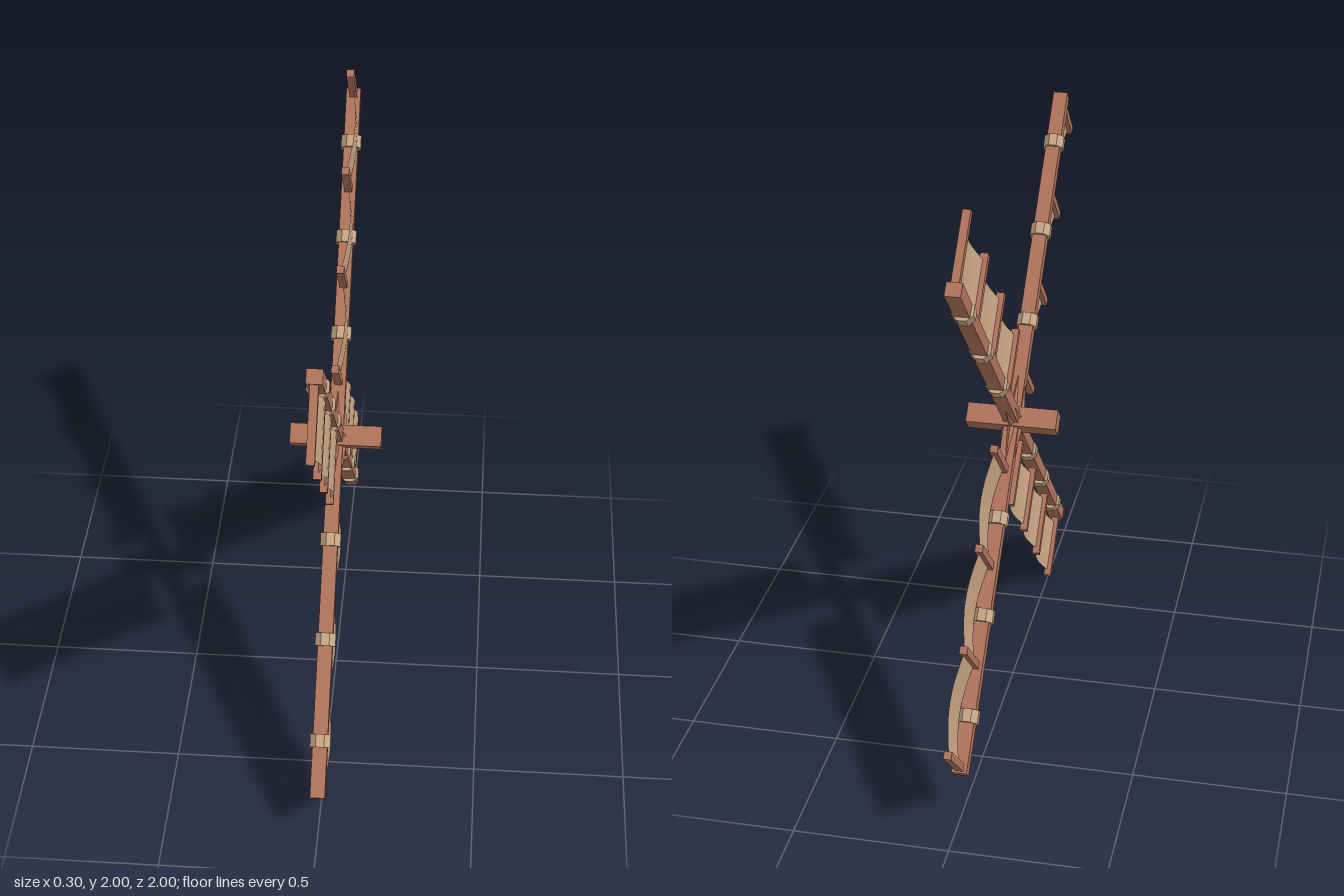
import * as THREE from 'three';

const HUB_HEIGHT = 1;
const BAR_POSITIONS = [0.18, 0.505, 0.83, 1.156];
const SPACING = 0.3253;

// Gives a geometry hard-edged facets
function faceted(geometry) {
  const g = geometry.toNonIndexed();
  g.computeVertexNormals();
  return g;
}

function addMesh(parent, name, geometry, material, x = 0, y = 0, z = 0) {
  const mesh = new THREE.Mesh(geometry, material);
  mesh.name = name;
  mesh.position.set(x, y, z);
  parent.add(mesh);
  return mesh;
}

// Cloth sheet that billows sideways between the cross bars
function makeCloth() {
  const start = BAR_POSITIONS[0];
  const end = BAR_POSITIONS[3];
  const cloth = new THREE.PlaneGeometry(0.187, end - start, 1, 30);
  cloth.rotateY(-Math.PI / 2);
  cloth.translate(0, (start + end) / 2, 0.1325);
  const p = cloth.attributes.position;
  for (let i = 0; i < p.count; i++) {
    const t = (p.getY(i) - start) / SPACING;
    p.setX(i, 0.022 * Math.abs(Math.sin(Math.PI * t)));
  }
  cloth.computeVertexNormals();
  return cloth;
}

export function createModel() {
  const wood = new THREE.MeshStandardMaterial({ color: 0xb0745c });
  wood.name = 'wood';
  const canvas = new THREE.MeshStandardMaterial({ color: 0xcaa584, side: THREE.DoubleSide });
  canvas.name = 'canvas';
  const rope = new THREE.MeshStandardMaterial({ color: 0xc6a685 });
  rope.name = 'rope';

  const model = new THREE.Group();
  model.name = 'windmillSails';
  const rotor = new THREE.Group();
  rotor.name = 'rotor';
  rotor.position.y = HUB_HEIGHT;
  model.add(rotor);

  // Square axle, standing on its edge
  const axle = addMesh(rotor, 'axle', new THREE.BoxGeometry(0.3, 0.067, 0.067), wood);
  axle.rotation.x = Math.PI / 4;

  const spar = new THREE.BoxGeometry(0.048, 1.175, 0.044);
  const brace = faceted(new THREE.CylinderGeometry(0.02, 0.037, 0.17, 4));
  const bar = new THREE.BoxGeometry(0.025, 0.23, 0.025);
  bar.rotateX(Math.PI / 2);
  const band = new THREE.CylinderGeometry(0.036, 0.036, 0.042, 8);
  band.rotateY(Math.PI / 8);
  const bandFaceted = faceted(band);
  const cloth = makeCloth();

  // Four identical blades around the axle
  for (let i = 0; i < 4; i++) {
    const blade = new THREE.Group();
    blade.name = 'blade' + (i + 1);
    blade.rotation.x = Math.PI / 4 + i * Math.PI / 2;
    rotor.add(blade);

    addMesh(blade, 'spar', spar, wood, 0, 0.5875, 0);
    addMesh(blade, 'sparBrace', brace, wood, 0, 0.085, 0);
    addMesh(blade, 'sailCloth', cloth, canvas);
    BAR_POSITIONS.forEach((y, k) => {
      addMesh(blade, 'crossBar', bar, wood, 0, y, 0.131);
      // Rope bands sit midway between bars
      if (k < 3) addMesh(blade, 'ropeBand', bandFaceted, rope, 0, y + SPACING / 2, 0);
    });
  }
  return model;
}
